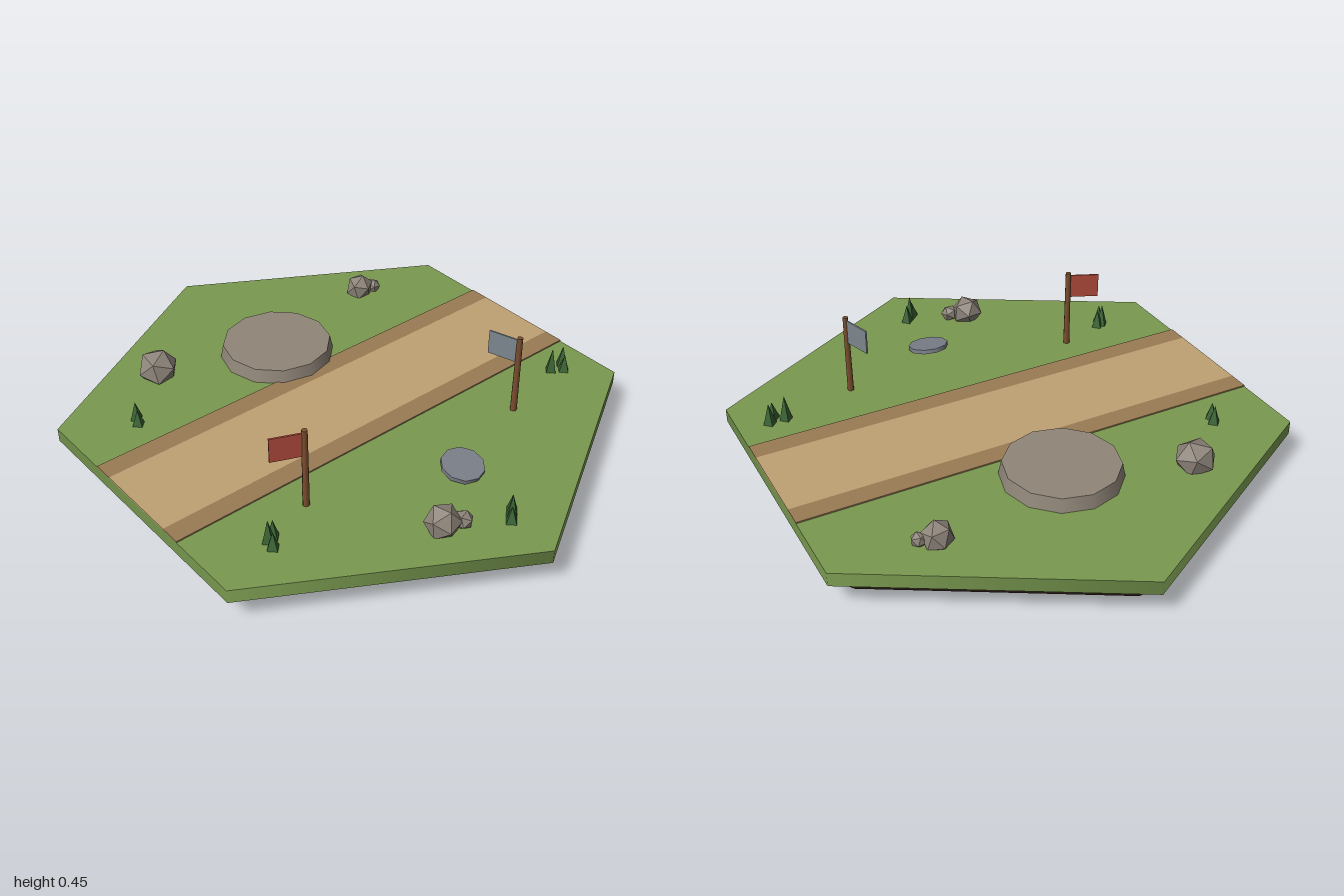
import * as THREE from 'three';

const TOP = 0.15; // height of the grass surface

const mat = (color, flatShading = false) => new THREE.MeshStandardMaterial({ color, flatShading });
const mats = {
  grass: mat(0x7a9a50), soil: mat(0x48342a), path: mat(0xc0a273), verge: mat(0x9a7b54),
  plinth: mat(0x908679), slab: mat(0x7b7f88), rock: mat(0x8c8379, true), tuft: mat(0x3a6334, true),
  wood: mat(0x7a4e2e), red: mat(0xb04a3c), grey: mat(0x7d868e),
};

export function createModel() {
  const root = new THREE.Group();
  root.name = 'hexTile';

  const add = (name, geometry, material, x, y, z, parent = root) => {
    const mesh = new THREE.Mesh(geometry, material);
    mesh.name = name;
    mesh.position.set(x, y, z);
    parent.add(mesh);
    return mesh;
  };
  const group = (name, x, z) => {
    const g = new THREE.Group();
    g.name = name;
    g.position.set(x, TOP, z);
    root.add(g);
    return g;
  };

  // Hexagonal ground: tapered soil under a grass plate
  add('soilBase', new THREE.CylinderGeometry(0.97, 0.88, 0.1, 6), mats.soil, 0, 0.05, 0);
  add('grassTop', new THREE.CylinderGeometry(1, 1, 0.05, 6), mats.grass, 0, 0.125, 0);

  // Road with a darker verge along each side
  const width = Math.sqrt(3);
  add('road', new THREE.BoxGeometry(width, 0.008, 0.32), mats.path, 0, TOP + 0.001, 0);
  for (const side of [-1, 1]) {
    add('roadVerge', new THREE.BoxGeometry(width, 0.008, 0.075), mats.verge, 0, TOP + 0.001, side * 0.1975);
  }

  // Round stone platform and a small tilted slab
  add('stonePlatform', new THREE.CylinderGeometry(0.2, 0.21, 0.05, 12), mats.plinth, 0, TOP + 0.025, -0.395);
  const slab = add('tiltedSlab', new THREE.CylinderGeometry(0.075, 0.075, 0.016, 10), mats.slab, 0.05, TOP + 0.02, 0.545);
  slab.rotation.x = 0.2;

  // Flags: [x, z, offset of the flag's free end, material]
  const flags = [
    [-0.45, 0.35, -0.105, -0.045, mats.red],
    [0.42, 0.42, -0.033, -0.11, mats.grey],
  ];
  for (const [x, z, dx, dz, material] of flags) {
    const flag = group('flag', x, z);
    add('flagPole', new THREE.CylinderGeometry(0.01, 0.012, 0.3, 8), mats.wood, 0, 0.15, 0, flag);
    const cloth = add('flagCloth', new THREE.BoxGeometry(Math.hypot(dx, dz), 0.09, 0.006), material, dx / 2, 0.245, dz / 2, flag);
    cloth.rotation.y = Math.atan2(-dz, dx);
  }

  // Faceted boulders: [x, y, z, radius, turn]
  const rocks = [
    [-0.42, 0.18, -0.555, 0.075, 0.5],
    [-0.195, 0.18, 0.71, 0.063, 1.2],
    [-0.133, 0.172, 0.737, 0.035, 0.3],
    [0.51, 0.173, -0.52, 0.057, 2.1],
    [0.565, 0.167, -0.503, 0.03, 0.9],
  ];
  for (const [x, y, z, radius, turn] of rocks) {
    const rock = add('boulder', new THREE.IcosahedronGeometry(radius, 0), mats.rock, x, y, z);
    rock.rotation.set(turn * 0.6, turn, turn * 0.3);
    rock.scale.y = 0.92;
  }

  // Grass tufts, each a cluster of four-sided blades: [dx, dz, height]
  const tufts = [
    [-0.63, -0.36, [[0.005, -0.018, 0.07], [-0.007, 0.014, 0.06]]],
    [-0.64, 0.415, [[-0.005, -0.006, 0.085], [0.018, -0.012, 0.07], [-0.012, 0.028, 0.065]]],
    [0.01, 0.805, [[-0.002, 0.005, 0.095], [0.02, -0.015, 0.07], [-0.016, 0.018, 0.06]]],
    [0.725, 0.35, [[-0.03, -0.007, 0.095], [0.029, -0.008, 0.08], [0.008, 0.021, 0.065]]],
  ];
  for (const [x, z, blades] of tufts) {
    const tuft = group('grassTuft', x, z);
    for (const [dx, dz, h] of blades) {
      add('grassBlade', new THREE.ConeGeometry(0.024, h, 4), mats.tuft, dx, h / 2, dz, tuft);
    }
  }

  return root;
}
